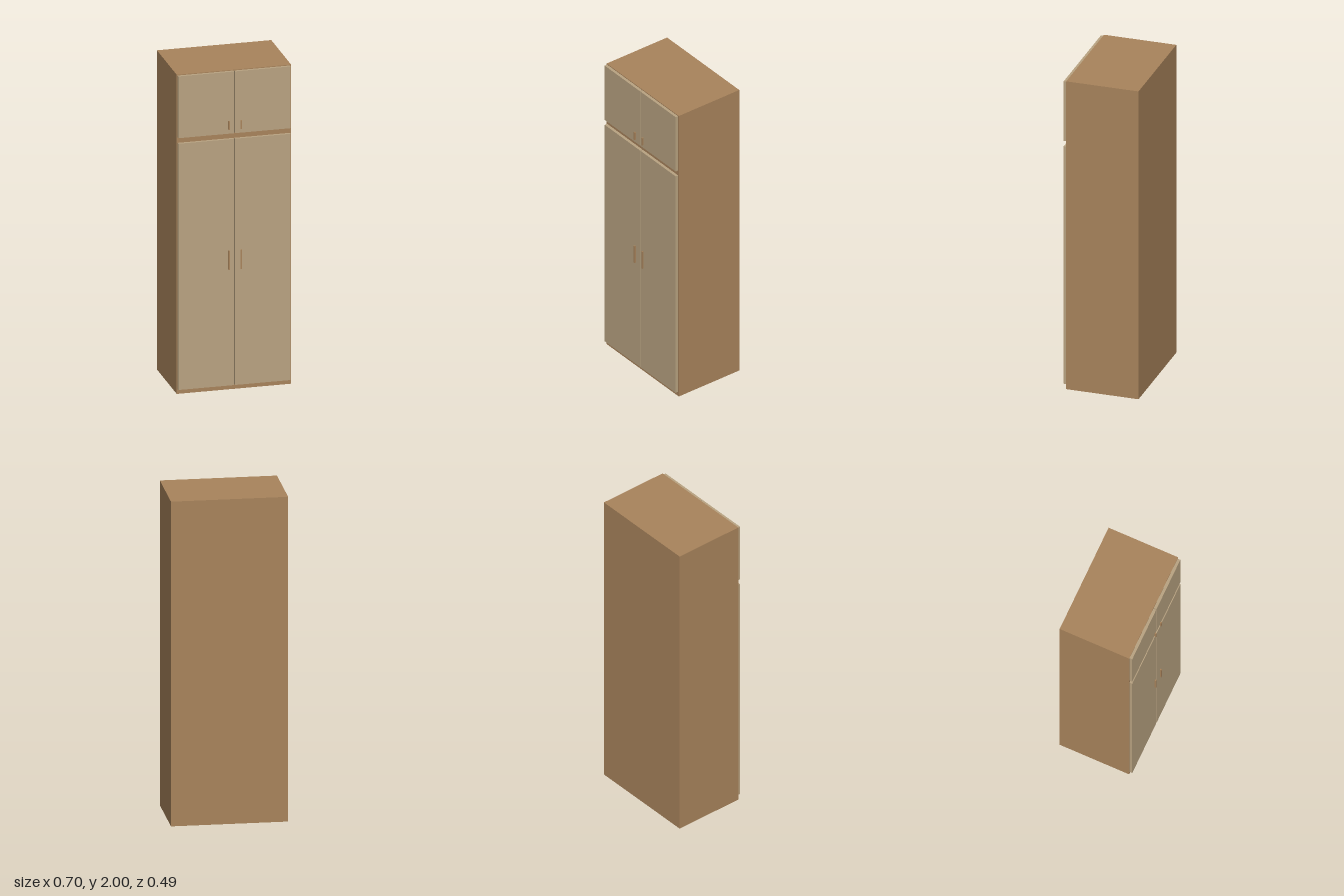
import * as THREE from 'three';

export function createModel() {
  const group = new THREE.Group();
  const wood = new THREE.MeshStandardMaterial({ color: 0xa9845c });
  wood.name = 'brown wood';
  const panel = new THREE.MeshStandardMaterial({ color: 0xbaa482 });
  panel.name = 'pale door wood';

  // Box given by its minimum and maximum on each axis
  function box(name, material, [x0, x1], [y0, y1], [z0, z1]) {
    const mesh = new THREE.Mesh(new THREE.BoxGeometry(x1 - x0, y1 - y0, z1 - z0), material);
    mesh.position.set((x0 + x1) / 2, (y0 + y1) / 2, (z0 + z1) / 2);
    mesh.name = name;
    group.add(mesh);
  }

  // Cabinet body
  box('cabinetBody', wood, [-0.35, 0.35], [0, 2], [-0.243, 0.208]);

  // Two pairs of doors, each with a slim upright handle near the middle
  const tiers = [
    { name: 'lower', door: [0.03, 1.573], handle: [0.76, 0.88] },
    { name: 'upper', door: [1.608, 1.995], handle: [1.638, 1.69] },
  ];
  const sides = [
    { name: 'Left', door: [0.002, 0.343], handle: [0.032, 0.041] },
    { name: 'Right', door: [-0.345, -0.003], handle: [-0.042, -0.033] },
  ];
  for (const tier of tiers) {
    for (const side of sides) {
      box(`${tier.name}${side.name}Door`, panel, side.door, tier.door, [0.208, 0.226]);
      box(`${tier.name}${side.name}Handle`, wood, side.handle, tier.handle, [0.234, 0.243]);
    }
  }
  return group;
}
